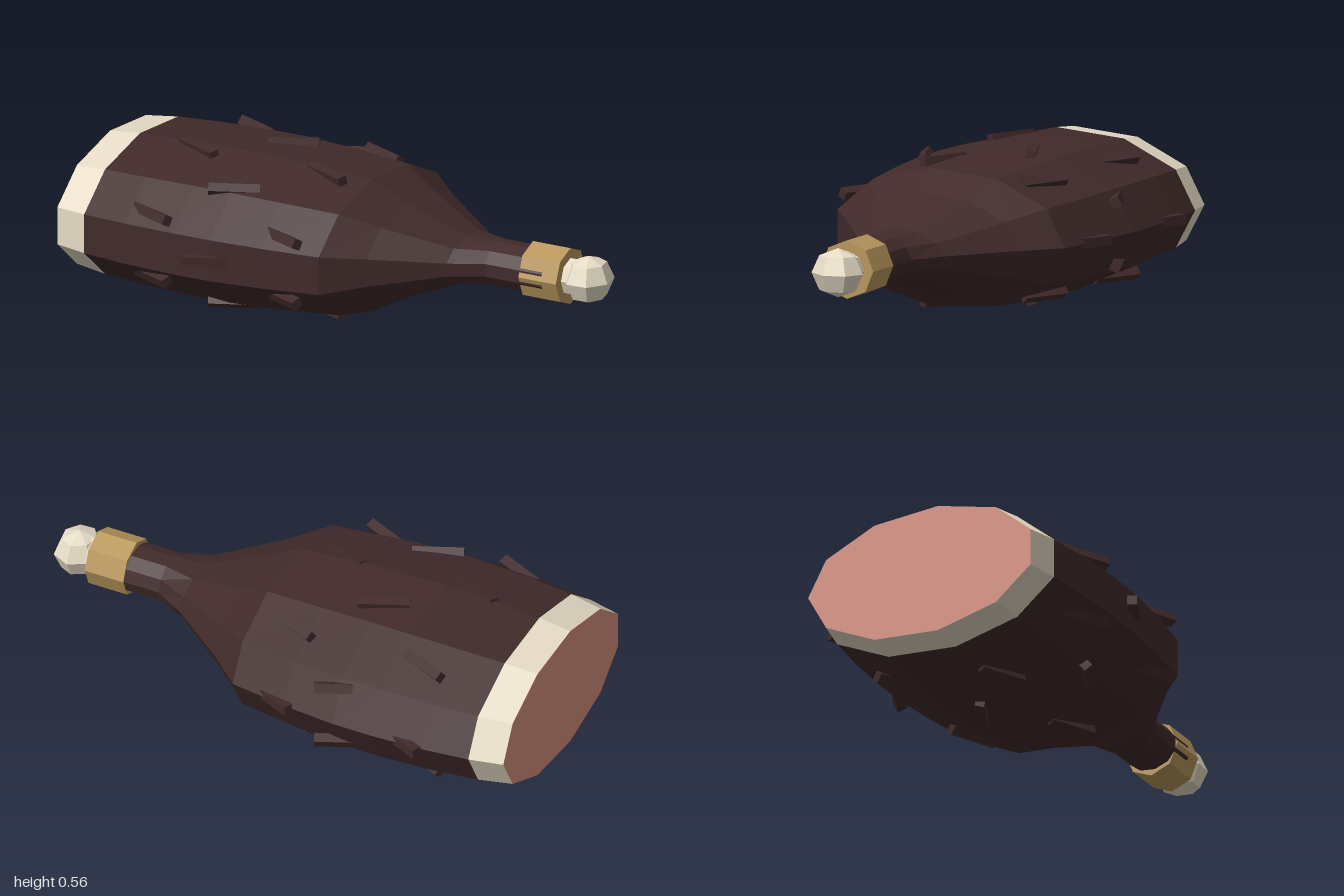
import * as THREE from 'three';

const CY = 0.284;   // height of the long axis
const SIDES = 11;

const mat = (name, color) => {
  const m = new THREE.MeshStandardMaterial({ color, flatShading: true });
  m.name = name;
  return m;
};

// Elliptical rings [x, radiusY, radiusZ] joined into a faceted tube along x
function loft(rings) {
  const pos = [], idx = [];
  for (const [x, ry, rz] of rings)
    for (let k = 0; k < SIDES; k++) {
      const t = (k / SIDES) * Math.PI * 2;
      pos.push(x, CY + ry * Math.sin(t), -rz * Math.cos(t));
    }
  for (let i = 0; i < rings.length - 1; i++)
    for (let k = 0; k < SIDES; k++) {
      const a = i * SIDES + k, b = i * SIDES + (k + 1) % SIDES;
      idx.push(a, b, a + SIDES, b, b + SIDES, a + SIDES);
    }
  return finish(pos, idx);
}

// Flat end facing -x
function endCap([x, ry, rz]) {
  const pos = [x, CY, 0], idx = [];
  for (let k = 0; k < SIDES; k++) {
    const t = (k / SIDES) * Math.PI * 2;
    pos.push(x, CY + ry * Math.sin(t), -rz * Math.cos(t));
    idx.push(0, 1 + (k + 1) % SIDES, 1 + k);
  }
  return finish(pos, idx);
}

function finish(pos, idx) {
  const g = new THREE.BufferGeometry();
  g.setAttribute('position', new THREE.Float32BufferAttribute(pos, 3));
  g.setIndex(idx);
  g.computeVertexNormals();
  return g;
}

export function createModel() {
  const root = new THREE.Group();
  root.name = 'ham';
  const skin = mat('dark roasted skin', 0x412a2a);
  const cream = mat('cream fat and bone', 0xe6dcc6);
  const meat = mat('cut meat', 0xd68f7d);
  const gold = mat('gold collar', 0xb8975c);

  const add = (name, geometry, material, parent = root) => {
    const m = new THREE.Mesh(geometry, material);
    m.name = name;
    parent.add(m);
    return m;
  };

  // Body: cut face, fat rim, then the skin tapering into the shank
  const cut = [-1, 0.245, 0.458], rim = [-0.875, 0.259, 0.486];
  add('cutFace', endCap(cut), meat);
  add('fatRim', loft([cut, rim]), cream);
  add('skinBody', loft([
    rim,
    [-0.7, 0.268, 0.507],
    [-0.5, 0.273, 0.517],
    [-0.35, 0.273, 0.516],
    [-0.15, 0.264, 0.498],
    [0.07, 0.25, 0.465],
    [0.2, 0.182, 0.348],
    [0.43, 0.086, 0.17],
    [0.55, 0.084, 0.102],
    [0.78, 0.084, 0.102],
  ]), skin);

  // Raised cloves: three staggered rings of seven, slanted alternately
  const cloves = new THREE.Group();
  cloves.name = 'cloves';
  root.add(cloves);
  const cloveGeo = new THREE.BoxGeometry(0.185, 0.036, 0.035);
  const rows = [
    [-0.61, 0.264, 0.496, Math.PI / 7, -0.42],
    [-0.35, 0.266, 0.501, 0, 0.42],
    [-0.09, 0.256, 0.476, Math.PI / 7, -0.42],
  ];
  for (const [x, ry, rz, start, slant] of rows)
    for (let i = 0; i < 7; i++) {
      const a = start + (i / 7) * Math.PI * 2;
      const c = add('clove', cloveGeo, skin, cloves);
      c.position.set(x, CY + ry * Math.sin(a), rz * Math.cos(a));
      c.rotation.set(Math.PI / 2 - a, slant, 0, 'YXZ');
    }

  // Collar around the shank
  const collar = add('collar', new THREE.CylinderGeometry(0.105, 0.105, 0.153, 8), gold);
  collar.rotation.z = -Math.PI / 2;
  collar.position.set(0.765, CY, 0);

  // Bone stub and knob
  const stub = add('boneStub', new THREE.CylinderGeometry(0.068, 0.068, 0.08, 8), cream);
  stub.rotation.z = -Math.PI / 2;
  stub.position.set(0.86, CY, 0);
  const knob = add('boneKnob', new THREE.SphereGeometry(0.088, 7, 4), cream);
  knob.rotation.y = Math.PI - 0.2;
  knob.scale.z = 1.12;
  knob.position.set(0.914, CY, -0.003);

  return root;
}
